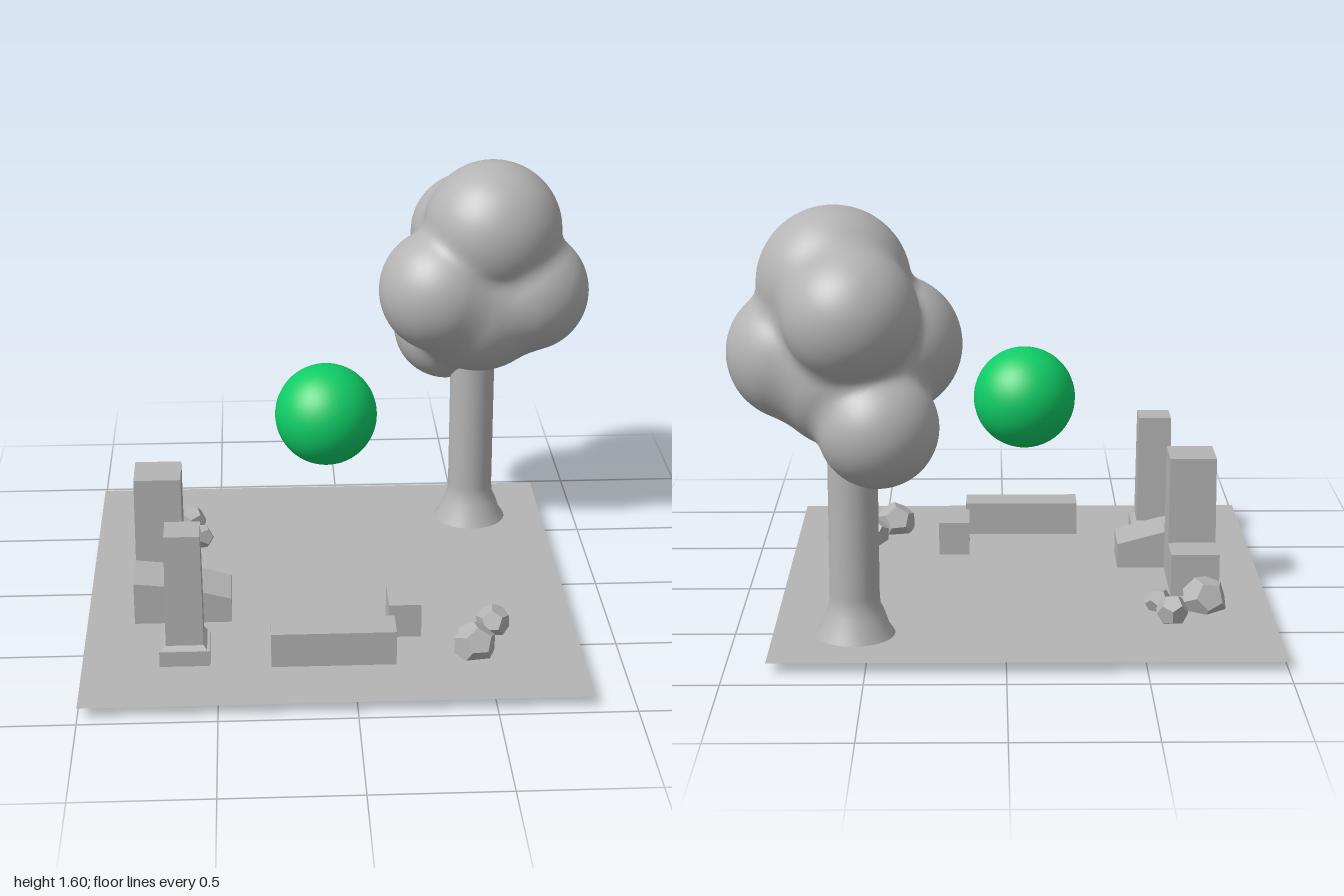
import * as THREE from 'three';
import { mergeVertices } from 'three/addons/utils/BufferGeometryUtils.js';

const V = (x, y, z) => new THREE.Vector3(x, y, z);
const GROUND = 0.047;

// Foliage lobes: x, y, z, radius
const LOBES = [
  [0.61, 1.335, -0.51, 0.275],
  [0.405, 1.1, -0.46, 0.25],
  [0.755, 1.08, -0.5, 0.245],
  [0.54, 1.26, -0.72, 0.24],
  [0.45, 0.855, -0.71, 0.215],
  [0.56, 1.03, -0.54, 0.29],
];

// Soft union of the lobes as a signed distance
function lobeDistance(p) {
  const k = 0.045;
  let d = 10;
  for (const [x, y, z, r] of LOBES) {
    const s = Math.hypot(p.x - x, p.y - y, p.z - z) - r;
    const h = Math.max(k - Math.abs(d - s), 0) / k;
    d = Math.min(d, s) - h * h * k * 0.25;
  }
  return d;
}

// Sphere whose points are pulled in from outside until they meet the lobes
function foliageGeometry() {
  const centre = V(0.56, 1.1, -0.55);
  let geo = new THREE.IcosahedronGeometry(1, 32);
  geo.deleteAttribute('uv');
  geo.deleteAttribute('normal');
  geo = mergeVertices(geo, 1e-4);
  const pos = geo.attributes.position;
  const dir = V(0, 0, 0), p = V(0, 0, 0);
  for (let i = 0; i < pos.count; i++) {
    dir.fromBufferAttribute(pos, i).normalize();
    let t = 0.9;
    for (let n = 0; n < 80; n++) {
      const d = lobeDistance(p.copy(centre).addScaledVector(dir, t));
      if (d < 0.0005) break;
      t -= d;
    }
    p.copy(centre).addScaledVector(dir, t);
    pos.setXYZ(i, p.x, p.y, p.z);
  }
  geo.computeVertexNormals();
  return geo;
}

// Box given by its limits; the top can be inset to taper it
function block(x0, x1, y0, y1, z0, z1, inset = 0) {
  const geo = new THREE.BoxGeometry(x1 - x0, y1 - y0, z1 - z0);
  const pos = geo.attributes.position;
  for (let i = 0; i < pos.count; i++) {
    if (pos.getY(i) > 0) {
      pos.setX(i, pos.getX(i) - Math.sign(pos.getX(i)) * inset);
      pos.setZ(i, pos.getZ(i) - Math.sign(pos.getZ(i)) * inset);
    }
  }
  geo.computeVertexNormals();
  return geo.translate((x0 + x1) / 2, (y0 + y1) / 2, (z0 + z1) / 2);
}

export function createModel() {
  const model = new THREE.Group();
  const grey = new THREE.MeshStandardMaterial({ color: 0xb4b4b4, side: THREE.DoubleSide });
  grey.name = 'stoneGrey';
  const green = new THREE.MeshStandardMaterial({ color: 0x0fcc66 });
  green.name = 'brightGreen';

  const add = (name, geo, mat = grey, parent = model) => {
    const mesh = new THREE.Mesh(geo, mat);
    mesh.name = name;
    parent.add(mesh);
    return mesh;
  };

  // Ground sheet
  add('ground', new THREE.PlaneGeometry(1.85, 1.855).rotateX(-Math.PI / 2).translate(-0.075, GROUND, 0.03));

  // Zigzag patch lying on the ground
  const zigzag = new THREE.Shape([
    [-0.41, 0.12], [-0.155, 0.12], [-0.155, -0.25], [0.245, -0.25],
    [0.245, -0.065], [0, -0.065], [0, 0.31], [-0.41, 0.31],
  ].map(([x, z]) => new THREE.Vector2(x, -z)));
  add('groundPatch', new THREE.ShapeGeometry(zigzag).rotateX(-Math.PI / 2).translate(0, GROUND + 0.004, 0));

  // Floating ball
  add('ball', new THREE.SphereGeometry(0.195, 48, 32).translate(-0.077, 0.775, 0.03), green);

  // Tree
  const tree = new THREE.Group();
  tree.name = 'tree';
  model.add(tree);
  const trunkProfile = [[0, 0.03], [0.15, 0.03], [0.148, 0.045], [0.125, 0.08], [0.108, 0.13],
    [0.094, 0.16], [0.091, 0.2], [0.09, 0.8]].map(([r, y]) => new THREE.Vector2(r, y));
  add('trunk', new THREE.LatheGeometry(trunkProfile, 32).translate(0.55, 0, -0.592), grey, tree);
  add('foliage', foliageGeometry(), grey, tree);

  // Tower with its stepped base and sloping arm
  const tower = new THREE.Group();
  tower.name = 'tower';
  model.add(tower);
  add('towerShaft', block(-0.82, -0.635, GROUND, 0.55, -0.06, 0.125, 0.003), grey, tower);
  add('towerBase', block(-0.82, -0.635, GROUND, 0.212, -0.21, -0.06), grey, tower);
  const wedge = new THREE.Shape([[-0.82, GROUND], [-0.45, GROUND], [-0.45, 0.145], [-0.635, 0.195], [-0.82, 0.215]]
    .map(([x, y]) => new THREE.Vector2(x, y)));
  add('towerArm', new THREE.ExtrudeGeometry(wedge, { depth: 0.205, bevelEnabled: false }).translate(0, 0, 0.125), grey, tower);

  // Pillar on a bevelled plinth
  const pillar = new THREE.Group();
  pillar.name = 'pillar';
  model.add(pillar);
  add('plinth', block(-0.715, -0.53, GROUND, 0.107, 0.485, 0.67), grey, pillar);
  add('plinthBevel', block(-0.705, -0.54, 0.107, 0.122, 0.495, 0.66, 0.012), grey, pillar);
  add('pillarShaft', block(-0.692, -0.552, 0.12, 0.56, 0.508, 0.648, 0.005), grey, pillar);

  // Low blocks
  add('longBlock', block(-0.305, 0.155, GROUND, 0.18, 0.56, 0.69));
  add('shortBlock', block(0.14, 0.262, GROUND, 0.18, 0.295, 0.48));

  // Rocks: x, y, z, radius, turn
  const rocks = [
    [0.45, 0.085, 0.615, 0.083, 0.4],
    [0.535, 0.09, 0.45, 0.066, 1.3],
    [-0.75, 0.086, -0.345, 0.088, 2.1],
    [-0.617, 0.09, -0.487, 0.062, 0.9],
    [-0.575, 0.08, -0.35, 0.052, 2.8],
  ];
  rocks.forEach(([x, y, z, r, turn], i) => {
    const rock = add('rock' + (i + 1), new THREE.DodecahedronGeometry(r));
    rock.position.set(x, y, z);
    rock.rotation.set(turn, turn * 1.7, turn * 0.6);
  });

  return model;
}
